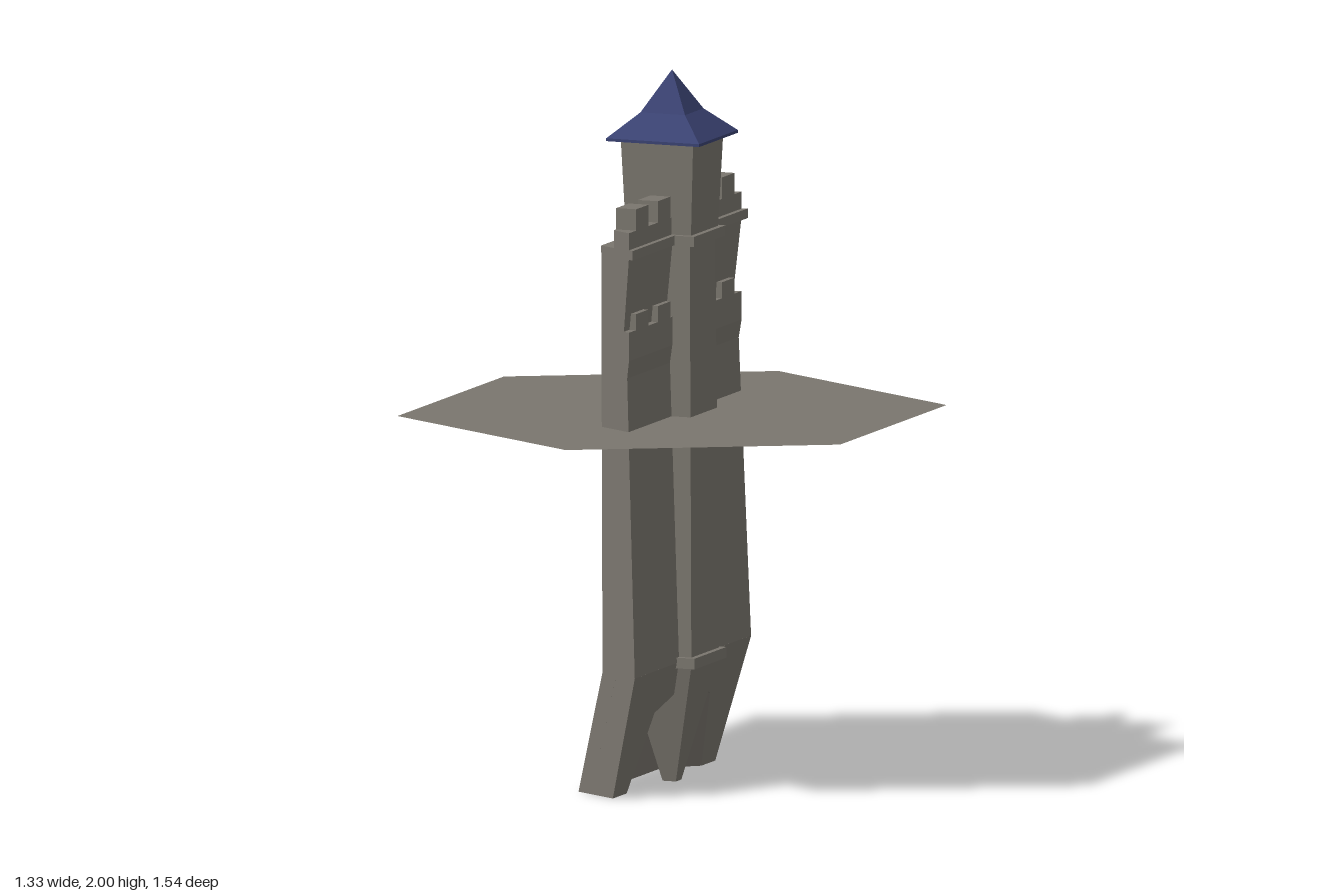
import * as THREE from 'three';

const stone = new THREE.MeshStandardMaterial({ color: 0x7a766e });
stone.name = 'stone';
const plateStone = new THREE.MeshStandardMaterial({ color: 0x7a766e, side: THREE.DoubleSide });
plateStone.name = 'plate stone';
const slate = new THREE.MeshStandardMaterial({ color: 0x3a4272 });
slate.name = 'roof blue';

// The wall ends are mitred at 30 degrees, toward the centre of a hexagonal ring
const RING = 0.665;
const mitre = (x) => (x + RING) * Math.tan(Math.PI / 6);

function part(name, geometry, material = stone) {
  const flat = geometry.index ? geometry.toNonIndexed() : geometry;
  flat.computeVertexNormals();
  const mesh = new THREE.Mesh(flat, material);
  mesh.name = name;
  return mesh;
}

// Extrudes an outline by one unit, then moves each vertex by a rule
function mappedExtrude(points, rule) {
  const shape = new THREE.Shape(points.map(([a, b]) => new THREE.Vector2(a, b)));
  const geometry = new THREE.ExtrudeGeometry(shape, { depth: 1, bevelEnabled: false });
  const p = geometry.attributes.position;
  for (let i = 0; i < p.count; i++) p.setXYZ(i, ...rule(p.getX(i), p.getY(i), p.getZ(i)));
  return geometry;
}

// Wall section (x, y) running along z between the mitred ends
const mitredPrism = (profile) =>
  mappedExtrude(profile, (x, y, w) => [x, y, (2 * w - 1) * mitre(x)]);

// Square tapered block given by half widths
function squareFrustum(bottom, top, y0, y1) {
  const g = new THREE.CylinderGeometry(top * Math.SQRT2, bottom * Math.SQRT2, y1 - y0, 4);
  g.rotateY(Math.PI / 4);
  g.translate(0, (y0 + y1) / 2, 0);
  return g;
}

function box(x0, x1, y0, y1, z0, z1) {
  const g = new THREE.BoxGeometry(x1 - x0, y1 - y0, z1 - z0);
  g.translate((x0 + x1) / 2, (y0 + y1) / 2, (z0 + z1) / 2);
  return g;
}

export function createModel() {
  const model = new THREE.Group();
  model.name = 'wallTower';

  // Ground plate
  const hexagon = new THREE.Shape();
  for (let i = 0; i < 6; i++) {
    const a = Math.PI / 6 + (i * Math.PI) / 3;
    hexagon[i ? 'lineTo' : 'moveTo'](0.77 * Math.cos(a), 0.77 * Math.sin(a));
  }
  const plate = new THREE.ShapeGeometry(hexagon);
  plate.rotateX(-Math.PI / 2);
  plate.translate(0, 1.04, 0);
  model.add(part('groundPlate', plate, plateStone));

  // Main wall with leaning foot, ledge, walkway and parapet
  model.add(part('wall', mitredPrism([
    [-0.16, 0], [-0.11, 0], [-0.01, 0.35], [0.063, 0.35], [0.033, 1.19],
    [0.04, 1.24], [0.04, 1.32], [0.02, 1.32], [0.04, 1.53], [0.04, 1.6],
    [-0.02, 1.6], [-0.02, 1.55], [-0.07, 1.55], [-0.065, 0.35],
  ])));
  model.add(part('wallBand', mitredPrism([
    [0.03, 1.525], [0.055, 1.525], [0.055, 1.552], [0.03, 1.552],
  ])));

  // Outer layer of the foot, with a recess that narrows inward
  const foot = [
    [-0.4, 0], [-0.27, 0], [-0.2, 0.22], [-0.08, 0.255],
    [0.08, 0.255], [0.2, 0.22], [0.27, 0], [0.4, 0], [0.4, 0.35], [-0.4, 0.35],
  ];
  model.add(part('wallFoot', mappedExtrude(foot, (u, v, w) => {
    const inRecess = Math.abs(u) < 0.3;
    const y = inRecess ? v * (0.94 + 0.06 * w) : v;
    const back = -0.11 + 0.286 * y;
    const front = -0.024 + 0.249 * y;
    const x = back + (front - back) * w;
    const z = inRecess ? -u * (0.72 + 0.28 * w) : -Math.sign(u) * mitre(x);
    return [x, y, z];
  })));

  // Two rows of merlons on each side of the tower
  for (const side of [-1, 1]) {
    for (const centre of [0.31, 0.153]) {
      const z = side * centre;
      model.add(part('upperMerlon', box(-0.02, 0.04, 1.595, 1.66, z - 0.045, z + 0.045)));
      model.add(part('lowerMerlon', box(0.015, 0.04, 1.315, 1.365, z - 0.045, z + 0.045)));
    }
  }

  // Tower
  model.add(part('towerCorbel', squareFrustum(0.02, 0.1, 0, 0.34)));
  model.add(part('lowerTowerBand', squareFrustum(0.116, 0.116, 0.335, 0.365)));
  model.add(part('towerShaft', squareFrustum(0.1, 0.092, 0.36, 1.53)));
  model.add(part('upperTowerBand', squareFrustum(0.114, 0.114, 1.523, 1.552)));
  model.add(part('towerHead', squareFrustum(0.098, 0.109, 1.55, 1.815)));

  // Flared roof
  const roof = new THREE.LatheGeometry(
    [[0, 1.81], [0.14, 1.81], [0.14, 1.818], [0.067, 1.885], [0, 2]]
      .map(([r, y]) => new THREE.Vector2(r * Math.SQRT2, y)), 4);
  roof.rotateY(Math.PI / 4);
  model.add(part('roof', roof, slate));

  return model;
}
